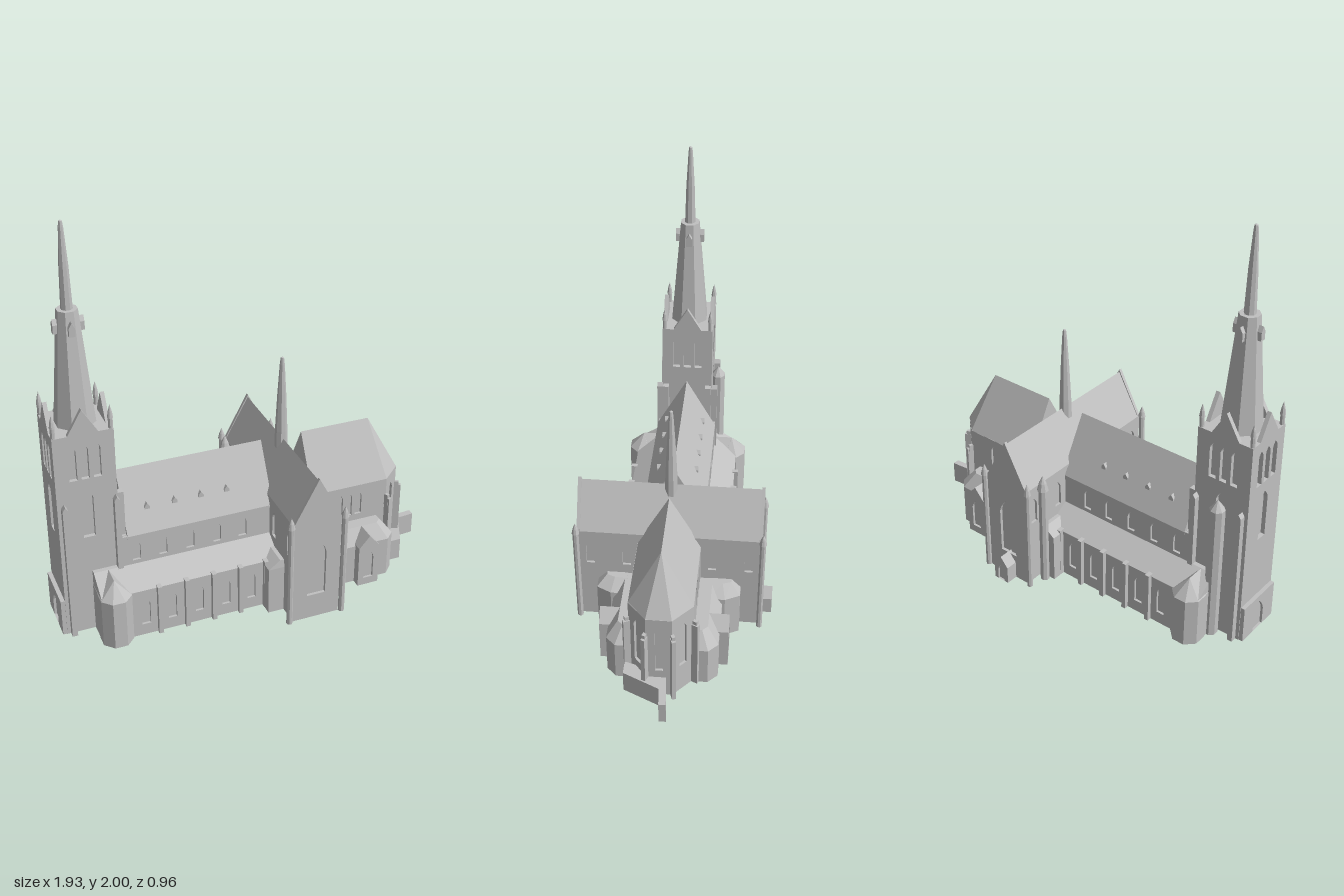
import * as THREE from 'three';

const stone = new THREE.MeshStandardMaterial({ color: 0xc0c0c0 });
stone.name = 'stone grey';

export function createModel() {
  const model = new THREE.Group();
  model.name = 'cathedral';
  const church = new THREE.Group();
  church.name = 'church';
  church.position.z = 0.01; // the church axis lies slightly off centre
  model.add(church);

  // ---------- helpers ----------
  function add(name, geo, x = 0, y = 0, z = 0, rot = 0) {
    const m = new THREE.Mesh(geo, stone);
    m.name = name;
    m.position.set(x, y, z);
    m.rotation.y = rot;
    church.add(m);
    return m;
  }
  const poly = pts => new THREE.Shape(pts.map(p => new THREE.Vector2(p[0], p[1])));

  // box given by its limits
  function block(name, x0, x1, y0, y1, z0, z1) {
    add(name, new THREE.BoxGeometry(x1 - x0, y1 - y0, Math.abs(z1 - z0)), (x0 + x1) / 2, (y0 + y1) / 2, (z0 + z1) / 2);
  }
  // plan outline (x, z) raised to a height
  function prism(name, plan, h) {
    const g = new THREE.ExtrudeGeometry(poly(plan.map(p => [p[0], -p[1]])), { depth: h, bevelEnabled: false });
    add(name, g.rotateX(-Math.PI / 2));
  }
  // sloped roof between two plan rings, with a flat top
  function loft(name, a, ya, b, yb) {
    let area = 0;
    a.forEach((p, i) => { const q = a[(i + 1) % a.length]; area += p[0] * q[1] - q[0] * p[1]; });
    if (area > 0) { a = [...a].reverse(); b = [...b].reverse(); }
    const A = a.map(p => new THREE.Vector3(p[0], ya, p[1]));
    const B = b.map(p => new THREE.Vector3(p[0], yb, p[1]));
    const pos = [];
    const tri = (p, q, r) => {
      if (new THREE.Triangle(p, q, r).getArea() > 1e-7) for (const v of [p, q, r]) pos.push(v.x, v.y, v.z);
    };
    A.forEach((p, i) => {
      const j = (i + 1) % A.length;
      tri(p, A[j], B[j]);
      tri(p, B[j], B[i]);
      if (i > 0 && j > 0) tri(B[0], B[i], B[j]);
    });
    const g = new THREE.BufferGeometry();
    g.setAttribute('position', new THREE.Float32BufferAttribute(pos, 3));
    g.computeVertexNormals();
    add(name, g);
  }
  // gabled body with its ridge along local z
  function house(name, hw, base, eave, ridge, len, x, z, rot = 0) {
    const s = poly([[-hw, base], [hw, base], [hw, eave], [0, ridge], [-hw, eave]]);
    const g = new THREE.ExtrudeGeometry(s, { depth: len, bevelEnabled: false }).translate(0, 0, -len / 2);
    add(name, g, x, 0, z, rot);
  }
  // wall skin whose pointed openings [u, bottom, top, width] form recessed windows
  function wall(name, outline, windows, x, z, rot = 0, depth = 0.012) {
    const s = poly(outline);
    for (const [u, y0, y1, w] of windows) {
      const h = w / 2, spring = y1 - w * 0.85, p = new THREE.Path();
      p.moveTo(u - h, y0);
      p.lineTo(u + h, y0);
      p.lineTo(u + h, spring);
      p.quadraticCurveTo(u + h * 0.85, spring + w * 0.45, u, y1);
      p.quadraticCurveTo(u - h * 0.85, spring + w * 0.45, u - h, spring);
      p.lineTo(u - h, y0);
      s.holes.push(p);
    }
    const g = new THREE.ExtrudeGeometry(s, { depth, bevelEnabled: false, curveSegments: 3 });
    add(name, g.translate(0, 0, -depth), x, 0, z, rot);
  }
  const rect = (u0, u1, y0, y1) => [[u0, y0], [u1, y0], [u1, y1], [u0, y1]];
  // eight-sided shaft from a profile of [radius, height]
  function shaft(name, profile, x, z) {
    const g = new THREE.LatheGeometry(profile.map(p => new THREE.Vector2(p[0], p[1])), 8, Math.PI / 8).toNonIndexed();
    g.computeVertexNormals();
    add(name, g, x, 0, z);
  }
  const pinnacle = (name, x, z, r, y0, y1, top) =>
    shaft(name, [[r, y0], [r, y1], [r * 1.25, y1], [r * 0.8, (y1 + top) / 2], [0, top]], x, z);

  // ---------- west tower ----------
  const tx = -0.81, tw = 0.14, td = 0.128;
  block('towerCore', tx - tw + 0.02, tx + tw - 0.02, 0, 1.06, -td + 0.02, td - 0.02);
  for (let i = 0; i < 4; i++) {
    const a = i * Math.PI / 2, side = i % 2 === 1;
    const hw = side ? td : tw, off = side ? tw : td;
    const outline = [[-hw, 0], [hw, 0], [hw, 1.06], [0.07, 1.06], [0, 1.18], [-0.07, 1.06], [-hw, 1.06]];
    const wins = [-0.056, 0, 0.056].map(u => [u, 0.83, 1.01, 0.037]);
    wins.push([0, 0.52, 0.775, 0.056]);
    wall('towerWall', outline, wins, tx + Math.sin(a) * off, Math.cos(a) * off, a, 0.02);
    house('spireDormer', 0.014, 1.5, 1.54, 1.565, 0.05, tx + Math.sin(a) * 0.045, Math.cos(a) * 0.045, a);
  }
  for (const s of [1, -1]) {
    for (const x of [-0.92, -0.68]) {
      block('towerButtress', x - 0.013, x + 0.013, 0, 0.7, s * 0.12, s * 0.158);
      house('buttressCap', 0.013, 0.69, 0.7, 0.72, 0.038, x, s * 0.139);
    }
    block('towerEastButtress', -0.68, -0.64, 0, 0.72, s * 0.095, s * 0.125);
    for (const x of [-0.94, -0.68]) pinnacle('towerPinnacle', x, s * 0.116, 0.011, 1.05, 1.11, 1.175);
  }
  block('westPorchCore', -0.958, -0.93, 0, 0.18, -0.122, 0.122);
  wall('westPorch', rect(-0.125, 0.125, 0, 0.19), [[0, 0, 0.16, 0.08]], -0.97, 0, -Math.PI / 2, 0.022);
  shaft('stairTurret', [[0.037, 0], [0.037, 0.7], [0, 0.75]], tx, -0.155);
  shaft('lowerSpire', [[0.095, 1.06], [0.07, 1.35], [0.048, 1.605], [0, 1.605]], tx, 0);
  shaft('upperSpire', [[0.027, 1.6], [0.021, 1.8], [0.011, 1.97], [0.008, 1.995], [0, 2]], tx, 0);

  // ---------- nave and aisles ----------
  const bays = [-0.6, -0.47, -0.335, -0.2, -0.07];
  block('naveCore', -0.69, 0.085, 0, 0.49, -0.138, 0.138);
  house('naveRoof', 0.152, 0.475, 0.487, 0.765, 0.725, -0.2775, 0, Math.PI / 2);
  block('aisleCore', -0.81, 0.08, 0, 0.255, -0.253, 0.253);
  const strip = (x0, x1, z) => [[x0, -z], [x1, -z], [x1, z], [x0, z]];
  loft('aisleRoof', strip(-0.81, 0.08, 0.268), 0.255, strip(-0.81, 0.08, 0.15), 0.33);
  for (const s of [1, -1]) {
    const rot = s > 0 ? 0 : Math.PI, cx = -0.3;
    wall('clerestoryWall', rect(-0.37, 0.37, 0.3, 0.488), bays.map(x => [s * (x - cx), 0.35, 0.46, 0.04]), cx, s * 0.15, rot);
    wall('aisleWall', rect(-0.38, 0.38, 0, 0.256), bays.map(x => [s * (x - cx), 0.06, 0.21, 0.042]), cx, s * 0.265, rot);
    for (const x of [-0.535, -0.4, -0.265, -0.13, 0.0]) block('aisleButtress', x - 0.011, x + 0.011, 0, 0.265, s * 0.255, s * 0.287);
    for (const x of [-0.525, -0.39, -0.26, -0.13]) house('roofDormer', 0.013, 0.585, 0.597, 0.615, 0.05, x, s * 0.078);
    // polygonal chapel beside the tower
    shaft('westChapel', [[0.08, 0], [0.08, 0.25], [0, 0.33]], -0.74, s * 0.24);
    house('westChapelLink', 0.072, 0, 0.25, 0.33, 0.15, -0.74, s * 0.165);
  }

  // ---------- transept ----------
  const cx = 0.19;
  block('transeptCore', cx - 0.108, cx + 0.108, 0, 0.54, -0.425, 0.425);
  house('transeptRoof', 0.122, 0.525, 0.54, 0.762, 0.86, cx, 0);
  const gable = [[-0.12, 0], [0.12, 0], [0.12, 0.55], [0, 0.775], [-0.12, 0.55]];
  for (const s of [1, -1]) {
    wall('transeptGable', gable, [[0, 0.13, 0.445, 0.095]], cx, s * 0.44, s > 0 ? 0 : Math.PI, 0.016);
    wall('transeptSide', rect(-0.435, 0.435, 0, 0.535), [-0.38, -0.205, 0.205, 0.38].map(u => [u, 0.34, 0.475, 0.04]),
      cx + s * 0.12, 0, s * Math.PI / 2);
    for (const x of [0.053, 0.326]) {
      pinnacle('transeptTurret', x, s * 0.443, 0.015, 0, 0.54, 0.6);
    }
    // low annexes in the corners west and east of the transept
    const west = [[-0.01, s * 0.2], [0.08, s * 0.2], [0.08, s * 0.335], [-0.01, s * 0.335]];
    prism('westAnnex', west, 0.25);
    loft('westAnnexRoof', west, 0.25, [[0.05, s * 0.2], [0.08, s * 0.2], [0.08, s * 0.33], [0.05, s * 0.33]], 0.29);
    const east = [[0.3, s * 0.2], [0.405, s * 0.2], [0.405, s * 0.275], [0.37, s * 0.345], [0.3, s * 0.345]];
    prism('eastAnnex', east, 0.24);
    loft('eastAnnexRoof', east, 0.24, [[0.3, s * 0.2], [0.35, s * 0.2], [0.345, s * 0.26], [0.33, s * 0.3], [0.3, s * 0.3]], 0.288);
  }
  pinnacle('transeptStairTurret', 0.035, -0.353, 0.023, 0, 0.53, 0.61);
  house('northPorch', 0.042, 0, 0.09, 0.14, 0.07, cx, -0.455);
  wall('northPorchFront', [[-0.042, 0], [0.042, 0], [0.042, 0.09], [0, 0.14], [-0.042, 0.09]], [[0, 0, 0.09, 0.04]], cx, -0.5, Math.PI);
  shaft('crossingSpire', [[0.032, 0.7], [0.03, 0.8], [0.021, 1.0], [0.012, 1.15], [0.008, 1.185], [0, 1.19]], cx, 0);

  // ---------- choir and apse ----------
  const apse = (o) => [[0.295, -0.15 + o], [0.7 - o * 0.5, -0.15 + o], [0.8 - o, -0.06 + o * 0.5],
    [0.8 - o, 0.06 - o * 0.5], [0.7 - o * 0.5, 0.15 - o], [0.295, 0.15 - o]];
  prism('choirCore', apse(0.012), 0.49);
  loft('choirRoof', apse(0), 0.485, [[0.295, 0], [0.655, 0], [0.655, 0], [0.655, 0], [0.655, 0], [0.295, 0]], 0.765);
  wall('apseEastWall', rect(-0.06, 0.06, 0, 0.487), [[0, 0.16, 0.43, 0.036]], 0.8, 0, Math.PI / 2);
  for (const s of [1, -1]) {
    const facing = Math.atan2(0.09, 0.1);
    wall('apseSlantWall', rect(-0.067, 0.067, 0, 0.487), [[0, 0.16, 0.43, 0.045]], 0.75, s * 0.105, s > 0 ? facing : Math.PI - facing);
    wall('choirWall', rect(-0.2, 0.2, 0.2, 0.487), [0.392, 0.445, 0.495, 0.547].map(x => [s * (x - 0.5), 0.32, 0.45, 0.035]),
      0.5, s * 0.15, s > 0 ? 0 : Math.PI);
    // stepped corner buttresses
    for (const [x, z, a] of [[0.808, 0.064, 0.37], [0.707, 0.155, 1.15]]) {
      add('apseButtress', new THREE.BoxGeometry(0.04, 0.38, 0.02), x, 0.19, s * z, -s * a);
      add('apseButtressCap', new THREE.BoxGeometry(0.025, 0.06, 0.016), x - 0.004, 0.37, s * z, -s * a);
    }
    // side porch chapel
    const porch = [[-0.055, 0], [0.055, 0], [0.055, 0.22], [0, 0.285], [-0.055, 0.22]];
    house('sideChapel', 0.055, 0, 0.22, 0.285, 0.12, 0.54, s * 0.233);
    wall('sideChapelFront', porch, [[0, 0.04, 0.2, 0.05]], 0.54, s * 0.305, s > 0 ? 0 : Math.PI);
  }
  // low aisle around the choir
  const around = (x, z, c) => [[0.3, -z], [x - c, -z], [x, -z + c], [x, z - c], [x - c, z], [0.3, z]];
  prism('choirAisle', around(0.71, 0.262, 0.045), 0.21);
  loft('choirAisleRoof', around(0.71, 0.262, 0.045), 0.21, around(0.65, 0.21, 0.025), 0.285);

  // low wall running east from the apse
  prism('eastWall', [[0.72, 0.17], [0.79, 0.17], [0.87, -0.005], [0.96, -0.012], [0.96, -0.046], [0.78, -0.03]], 0.115);
  return model;
}
